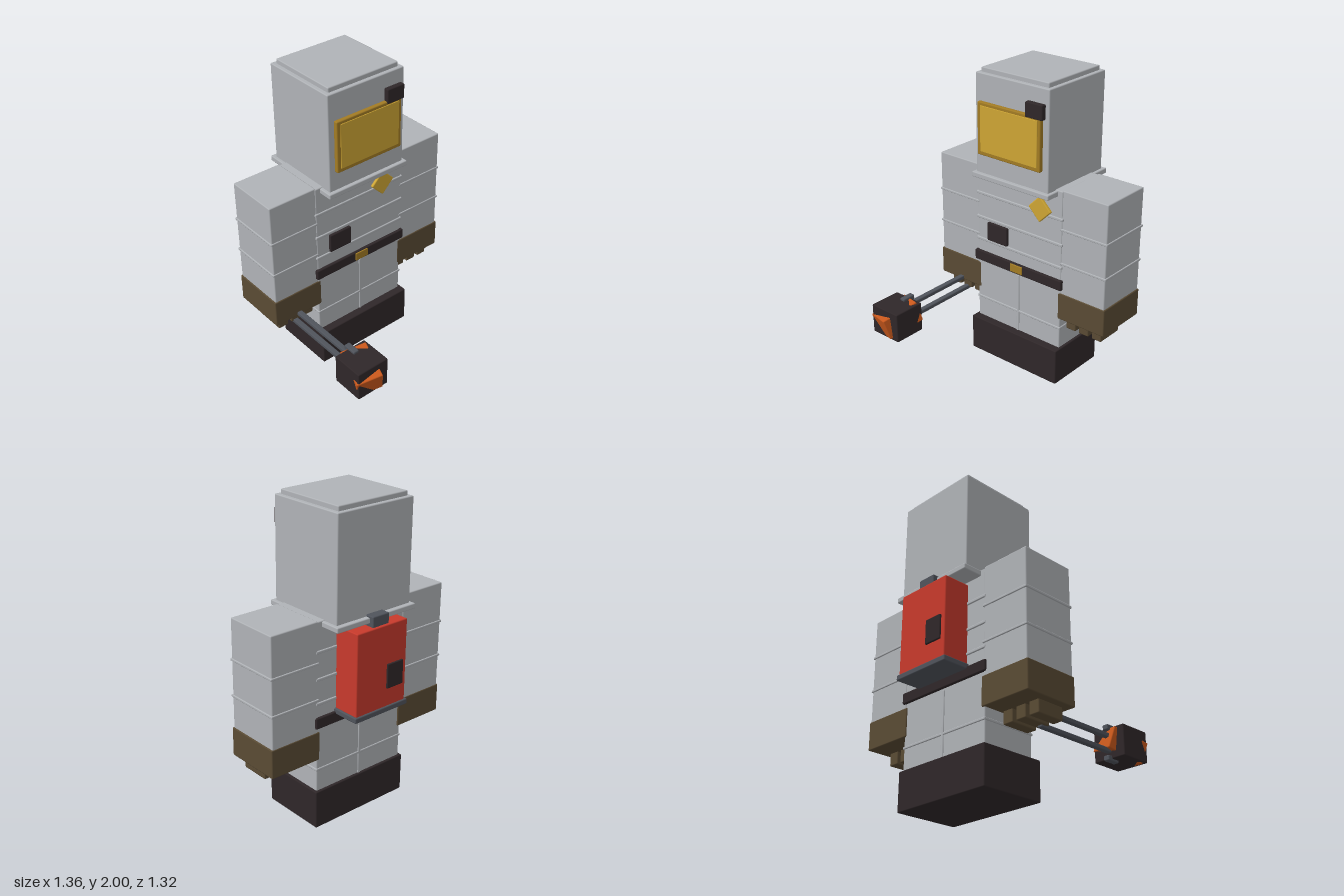
import * as THREE from 'three';
import { RoundedBoxGeometry } from 'three/addons/geometries/RoundedBoxGeometry.js';

const mat = (name, color) => {
  const m = new THREE.MeshStandardMaterial({ color });
  m.name = name;
  return m;
};

export function createModel() {
  const suit = mat('suitGrey', 0xb0b3b7);
  const dark = mat('darkRubber', 0x2f2729);
  const glove = mat('gloveBrown', 0x5a4b34);
  const gold = mat('visorGold', 0xcfa634);
  const bronze = mat('frameBronze', 0xa37c24);
  const red = mat('packRed', 0xc83a2c);
  const slate = mat('slateMetal', 0x50545c);
  const orange = mat('emberOrange', 0xc9581c);

  const model = new THREE.Group();
  model.name = 'suitedFigure';

  // Softly bevelled block given by its limits on each axis
  const block = (parent, name, material, [x0, x1], [y0, y1], [z0, z1]) => {
    const w = x1 - x0, h = y1 - y0, d = z1 - z0;
    const r = Math.min(0.007, Math.min(w, h, d) * 0.3);
    const mesh = new THREE.Mesh(new RoundedBoxGeometry(w, h, d, 1, r), material);
    mesh.position.set((x0 + x1) / 2, (y0 + y1) / 2, (z0 + z1) / 2);
    mesh.name = name;
    parent.add(mesh);
    return mesh;
  };
  const group = (name) => {
    const g = new THREE.Group();
    g.name = name;
    model.add(g);
    return g;
  };

  // Helmet with cap, neck ring, visor and side lamp
  const helmet = group('helmet');
  block(helmet, 'helmetShell', suit, [-0.285, 0.285], [1.32, 1.97], [-0.57, -0.03]);
  block(helmet, 'helmetCap', suit, [-0.26, 0.26], [1.96, 2.0], [-0.545, -0.055]);
  block(helmet, 'neckRing', suit, [-0.305, 0.305], [1.295, 1.33], [-0.6, -0.005]);
  block(helmet, 'visorFrame', bronze, [-0.247, 0.243], [1.46, 1.8], [-0.03, 0.001]);
  block(helmet, 'visorGlass', gold, [-0.222, 0.222], [1.485, 1.78], [-0.004, 0.005]);
  block(helmet, 'helmetLamp', dark, [0.13, 0.26], [1.785, 1.88], [-0.03, 0.007]);

  // Torso with raised seams
  const torso = group('torso');
  block(torso, 'torsoBlock', suit, [-0.342, 0.342], [0.64, 1.335], [-0.468, -0.102]);
  for (const y of [1.15, 0.98, 0.825]) {
    block(torso, 'torsoSeam', suit, [-0.35, 0.35], [y - 0.01, y + 0.01], [-0.476, -0.094]);
  }

  // Chest badge, control box, belt and buckle
  const badge = block(torso, 'chestBadge', gold, [0.115, 0.239], [1.118, 1.242], [-0.105, -0.083]);
  badge.rotation.z = Math.PI / 4;
  block(torso, 'controlBox', dark, [-0.25, -0.085], [0.838, 0.965], [-0.105, -0.083]);
  block(torso, 'belt', dark, [-0.358, 0.355], [0.67, 0.74], [-0.485, -0.083]);
  block(torso, 'buckle', bronze, [-0.053, 0.047], [0.68, 0.735], [-0.09, -0.076]);

  // Legs and boots
  const legs = group('legs');
  block(legs, 'legBlock', suit, [-0.345, 0.34], [0.23, 0.66], [-0.468, -0.102]);
  block(legs, 'kneeSeam', suit, [-0.35, 0.346], [0.383, 0.4], [-0.474, -0.096]);
  block(legs, 'legSeam', suit, [-0.011, 0.009], [0.24, 0.66], [-0.474, -0.096]);
  block(legs, 'boots', dark, [-0.36, 0.357], [0, 0.248], [-0.485, -0.048]);

  // Arms with seams, gloves and fingers
  for (const side of [1, -1]) {
    const arm = group(side > 0 ? 'leftArm' : 'rightArm');
    const span = (a, b) => (side > 0 ? [a, b] : [-b, -a]);
    block(arm, 'sleeve', suit, span(0.335, 0.67), [0.62, 1.34], [-0.472, -0.106]);
    for (const y of [1.083, 0.853]) {
      block(arm, 'sleeveSeam', suit, span(0.33, 0.677), [y - 0.008, y + 0.008], [-0.479, -0.1]);
    }
    block(arm, 'glove', glove, span(0.323, 0.678), [0.46, 0.645], [-0.476, -0.1]);
    for (const x of [0.395, 0.494, 0.593]) {
      block(arm, 'finger', glove, span(x - 0.036, x + 0.036), [0.38, 0.47], [-0.342, -0.15]);
    }
  }

  // Backpack with base, handle and rear panel
  const pack = group('backpack');
  block(pack, 'packBody', red, [-0.195, 0.195], [0.755, 1.277], [-0.645, -0.465]);
  block(pack, 'packBase', slate, [-0.21, 0.207], [0.725, 0.76], [-0.655, -0.465]);
  block(pack, 'packHandle', slate, [-0.064, 0.062], [1.27, 1.342], [-0.628, -0.51]);
  block(pack, 'packPanel', dark, [-0.165, -0.04], [0.875, 1.03], [-0.656, -0.64]);

  // Tongs holding a block with a glowing core
  const tongs = group('tongs');
  for (const [y, tip] of [[0.474, 0.525], [0.381, 0.332]]) {
    block(tongs, 'tongRod', slate, [-0.517, -0.481], [y - 0.014, y + 0.014], [-0.2, 0.42]);
    block(tongs, 'tongJaw', slate, [-0.519, -0.479], [tip - 0.017, tip + 0.017], [0.37, 0.463]);
  }
  block(tongs, 'heldBlock', dark, [-0.612, -0.387], [0.33, 0.527], [0.4, 0.617]);
  const ember = block(tongs, 'emberCore', orange, [-0.585, -0.415], [0.36, 0.5], [0.383, 0.633]);
  ember.rotation.set(0.28, -0.25, 0.2);

  return model;
}
